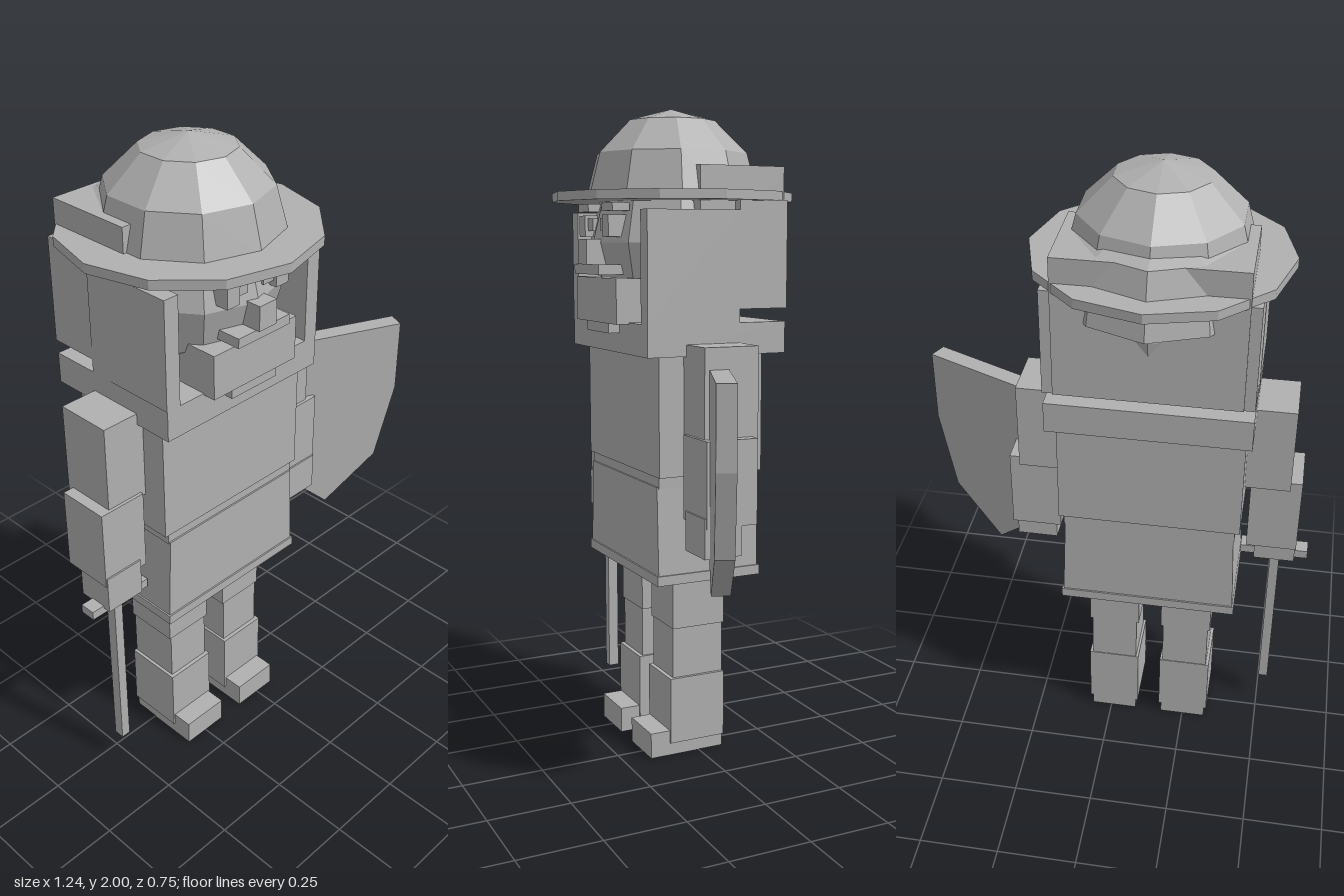
import * as THREE from 'three';

const CX = -0.13; // the body axis; the shield balances it on the other side

export function createModel() {
  const root = new THREE.Group();
  root.name = 'soldier';
  const body = new THREE.Group();
  body.name = 'body';
  body.position.x = CX;
  root.add(body);

  const grey = new THREE.MeshStandardMaterial({ color: 0xb0b0b0, flatShading: true, side: THREE.DoubleSide });
  grey.name = 'plain grey';

  const add = (name, geometry, x = 0, y = 0, z = 0) => {
    const m = new THREE.Mesh(geometry, grey);
    m.name = name;
    m.position.set(x, y, z);
    body.add(m);
    return m;
  };
  // Box given by its limits on each axis
  const box = (name, x0, x1, y0, y1, z0, z1) =>
    add(name, new THREE.BoxGeometry(x1 - x0, y1 - y0, z1 - z0), (x0 + x1) / 2, (y0 + y1) / 2, (z0 + z1) / 2);
  // The same box on both sides of the body
  const pair = (name, x0, x1, ...rest) => {
    box('left' + name, x0, x1, ...rest);
    box('right' + name, -x1, -x0, ...rest);
  };

  // Legs
  pair('Thigh', 0.037, 0.2, 0.41, 0.6, -0.085, 0.09);
  pair('Knee', 0.045, 0.193, 0.25, 0.41, -0.083, 0.087);
  pair('Boot', 0.037, 0.203, 0.04, 0.25, -0.085, 0.1);
  pair('Sole', 0.045, 0.195, 0, 0.08, -0.083, 0.06);
  pair('Foot', 0.043, 0.197, 0, 0.08, 0, 0.165);

  // Torso
  const skirt = box('skirt', -0.27, 0.27, 0.605, 0.875, -0.165, 0.17);
  const p = skirt.geometry.attributes.position;
  for (let i = 0; i < p.count; i++) if (p.getY(i) > 0) p.setX(i, p.getX(i) * 0.96);
  skirt.geometry.computeVertexNormals();
  box('hem', -0.275, 0.275, 0.575, 0.605, -0.17, 0.175);
  box('waist', -0.262, 0.262, 0.87, 0.91, -0.165, 0.165);
  box('chest', -0.277, 0.277, 0.905, 1.27, -0.172, 0.17);
  box('collar', -0.297, 0.297, 1.265, 1.36, -0.24, 0.215);

  // Arms
  pair('UpperArm', 0.27, 0.415, 1.02, 1.3, -0.085, 0.09);
  pair('Forearm', 0.295, 0.45, 0.78, 1.035, -0.065, 0.1);
  pair('Hand', 0.32, 0.448, 0.69, 0.81, -0.015, 0.105);

  // Head, with corners of the polygon at front and back
  const head = add('head', new THREE.SphereGeometry(0.262, 10, 6), 0, 1.595, 0);
  head.rotation.y = Math.PI / 2;
  head.scale.y = 1.03;
  box('hair', -0.266, 0.266, 1.4, 1.82, -0.25, 0.03);
  pair('CheekGuard', 0.25, 0.299, 1.36, 1.69, -0.085, 0.215);
  box('neckGuard', -0.297, 0.297, 1.4, 1.72, -0.245, -0.085);

  // Face
  pair('Brow', 0.055, 0.138, 1.688, 1.712, 0.2, 0.255);
  pair('Eye', 0.07, 0.118, 1.612, 1.677, 0.2, 0.26);
  pair('Cheek', 0.03, 0.075, 1.63, 1.668, 0.2, 0.25);
  box('nose', -0.033, 0.033, 1.53, 1.605, 0.22, 0.297);
  box('moustache', -0.1, 0.1, 1.5, 1.53, 0.2, 0.285);
  box('beard', -0.162, 0.162, 1.355, 1.49, 0.12, 0.255);
  box('beardTip', -0.088, 0.088, 1.325, 1.36, 0.14, 0.25);

  // Helmet: dome, brim and flared back
  const dome = add('helmetDome', new THREE.SphereGeometry(0.273, 10, 3, 0, Math.PI * 2, 0, Math.PI / 2), 0, 1.73, 0);
  dome.rotation.y = Math.PI / 2;
  dome.scale.y = 0.27 / 0.273;
  add('helmetBrim', new THREE.CylinderGeometry(0.374, 0.374, 0.028, 12), 0, 1.732, 0);
  const flare = [[0.33, 1.635], [0.31, 1.74], [0.285, 1.82], [0.22, 1.845]].map(([r, y]) => new THREE.Vector2(r, y));
  const back = add('helmetBackFlare', new THREE.LatheGeometry(flare, 4, Math.PI * 0.6, Math.PI * 0.8));
  back.scale.x = 0.85;

  // Sword held point down in the right hand
  box('swordGuard', -0.49, -0.275, 0.67, 0.698, 0.03, 0.08);
  box('swordBlade', -0.402, -0.372, 0.11, 0.675, 0.038, 0.072);

  // Shield on the left arm, turned outward
  const half = [[0.235, 1.235], [0.235, 1.0], [0.175, 0.75]];
  const outline = [...half, [0, 0.6], ...half.map(([x, y]) => [-x, y]).reverse()];
  const shape = new THREE.Shape(outline.map(([x, y]) => new THREE.Vector2(x, y)));
  const plate = new THREE.ExtrudeGeometry(shape, { depth: 0.057, bevelEnabled: false });
  plate.translate(0, 0, -0.0285);
  const shield = add('shield', plate, 0.39 - CX, 0, 0.09);
  shield.rotation.y = -0.42;

  return root;
}
